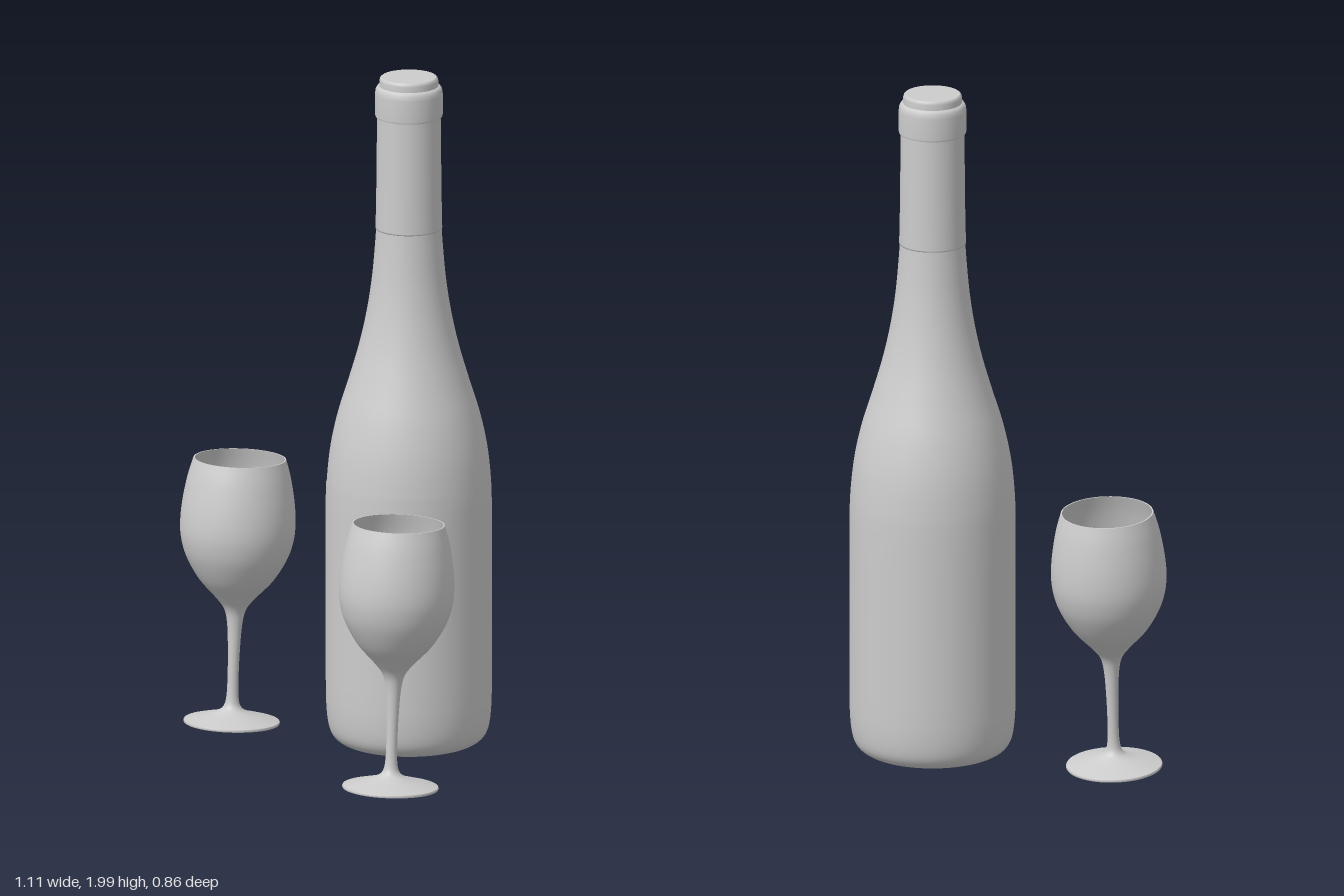
import * as THREE from 'three';

const grey = new THREE.MeshStandardMaterial({ color: 0xcccccc });
grey.name = 'plainGrey';

// Lathe a list of [radius, height] points, optionally smoothed with a spline
function turn(name, pts, { smooth = 0, start = 0, sweep = Math.PI * 2 } = {}) {
  let profile = pts.map(([r, y]) => new THREE.Vector2(r, y));
  if (smooth) profile = new THREE.SplineCurve(profile).getPoints(smooth);
  profile.forEach((p) => { p.x = Math.max(p.x, 0); });
  const mesh = new THREE.Mesh(new THREE.LatheGeometry(profile, 64, start, sweep), grey);
  mesh.name = name;
  return mesh;
}

function makeBottle() {
  const bottle = new THREE.Group();
  bottle.name = 'bottle';
  bottle.add(
    turn('bottleBase', [[0, 0.012], [0.12, 0.011], [0.175, 0.012], [0.205, 0.022], [0.224, 0.042],
      [0.234, 0.075], [0.239, 0.13], [0.24, 0.2]], { smooth: 35 }),
    turn('bottleBody', [[0.24, 0.2], [0.24, 0.45], [0.24, 0.7], [0.237, 0.8], [0.226, 0.9], [0.204, 1],
      [0.173, 1.1], [0.144, 1.2], [0.122, 1.3], [0.107, 1.4], [0.098, 1.5], [0.094, 1.56]], { smooth: 50 }),
    // Foil sleeve over the neck
    turn('foilLowerEdge', [[0.092, 1.548], [0.0965, 1.548], [0.0965, 1.552]]),
    turn('foilSleeve', [[0.0965, 1.552], [0.0945, 1.65], [0.092, 1.885]]),
    // Raised lip and stopper
    turn('lipUnderside', [[0.09, 1.882], [0.096, 1.882]]),
    turn('lip', [[0.096, 1.882], [0.098, 1.888], [0.098, 1.95], [0.096, 1.964], [0.091, 1.972], [0.084, 1.974]]),
    turn('stopperSide', [[0.085, 1.97], [0.085, 1.99], [0.083, 1.997], [0.079, 2]]),
    turn('stopperTop', [[0.079, 2], [0, 2]]),
    // Thin label wrapped around the front
    turn('label', [[0.2412, 0.2], [0.2412, 0.72], [0.2385, 0.795]], { start: -1.03, sweep: 2.06 }),
  );
  return bottle;
}

function makeGlass(name) {
  const glass = new THREE.Group();
  glass.name = name;
  glass.add(
    turn('footUnderside', [[0, 0], [0.138, 0]]),
    turn('footRim', [[0.138, 0], [0.14, 0.004], [0.138, 0.008]]),
    // Foot, stem and outer bowl in one sweep
    turn('outerGlass', [[0.138, 0.008], [0.1, 0.018], [0.055, 0.03], [0.028, 0.045], [0.018, 0.075],
      [0.016, 0.14], [0.018, 0.23], [0.023, 0.3], [0.034, 0.34], [0.062, 0.375], [0.108, 0.425],
      [0.144, 0.485], [0.161, 0.535], [0.167, 0.585], [0.163, 0.65], [0.15, 0.725], [0.134, 0.782]], { smooth: 90 }),
    turn('bowlRim', [[0.134, 0.782], [0.13, 0.782]]),
    turn('innerBowl', [[0.13, 0.782], [0.146, 0.725], [0.159, 0.65], [0.163, 0.585], [0.157, 0.535],
      [0.139, 0.485], [0.103, 0.43], [0.06, 0.387], [0.032, 0.367], [0, 0.36]], { smooth: 50 }),
  );
  // Both glasses lean slightly backwards
  glass.rotation.x = -0.058;
  return glass;
}

export function createModel() {
  const model = new THREE.Group();
  model.name = 'bottleAndGlasses';
  const bottle = makeBottle();
  bottle.position.set(0.152, 0, -0.187);
  const rightGlass = makeGlass('rightGlass');
  rightGlass.position.set(-0.387, 0.013, -0.085);
  const leftGlass = makeGlass('leftGlass');
  leftGlass.position.set(0.384, 0.013, 0.29);
  model.add(bottle, rightGlass, leftGlass);
  return model;
}
